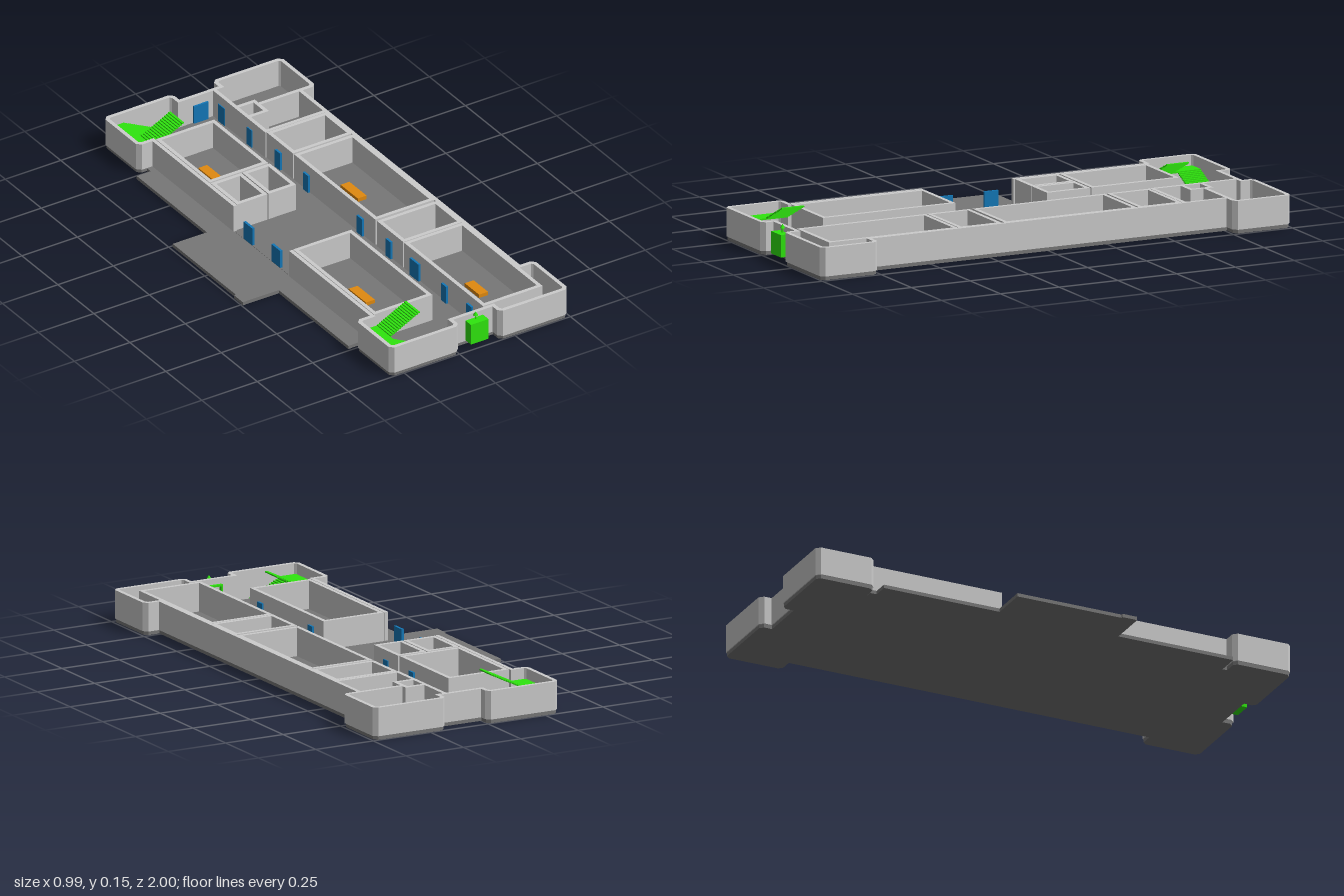
import * as THREE from 'three';

const FLOOR = 0.015, TOP = 0.127, T = 0.016;
const mat = (color) => new THREE.MeshStandardMaterial({ color, flatShading: true });
const wallMat = mat(0xcccccc), floorMat = mat(0x777777), green = mat(0x2fe60e);
const doorMat = mat(0x1478b8), orange = mat(0xe08a10), red = mat(0xee2020), blue = mat(0x2020ee);

// Plan outlines are given as [x, z]; a hole runs the same way round as its outline
function slab(points, y0, y1, material, name, hole) {
  const toV = ([x, z]) => new THREE.Vector2(x, -z);
  const shape = new THREE.Shape(points.map(toV));
  if (hole) shape.holes.push(new THREE.Path(hole.map(toV).reverse()));
  const g = new THREE.ExtrudeGeometry(shape, { depth: y1 - y0, bevelEnabled: false });
  g.rotateX(-Math.PI / 2).translate(0, y0, 0);
  const m = new THREE.Mesh(g, material);
  m.name = name;
  return m;
}

function box(x0, x1, y0, y1, z0, z1, material, name) {
  const m = new THREE.Mesh(new THREE.BoxGeometry(x1 - x0, y1 - y0, z1 - z0), material);
  m.position.set((x0 + x1) / 2, (y0 + y1) / 2, (z0 + z1) / 2);
  m.name = name;
  return m;
}

// Offsets an open path sideways with mitred corners
function offset(path, d) {
  const normal = (a, b) => {
    const l = Math.hypot(b[0] - a[0], b[1] - a[1]);
    return [(b[1] - a[1]) / l, -(b[0] - a[0]) / l];
  };
  const last = path.length - 1;
  return path.map((p, i) => {
    const n1 = normal(path[Math.max(i - 1, 0)], path[Math.max(i, 1)]);
    const n2 = normal(path[Math.min(i, last - 1)], path[Math.min(i + 1, last)]);
    const k = d / (1 + n1[0] * n2[0] + n1[1] * n2[1]);
    return [p[0] + (n1[0] + n2[0]) * k, p[1] + (n1[1] + n2[1]) * k];
  });
}

const wall = (path, name) =>
  slab([...offset(path, T / 2), ...offset(path, -T / 2).reverse()], FLOOR, TOP, wallMat, name);

const rect = (x0, x1, z0, z1) => [[x0, z0], [x1, z0], [x1, z1], [x0, z1]];
const room = (x0, x1, z0, z1, name) =>
  slab(rect(x0, x1, z0, z1), FLOOR, TOP, wallMat, name, rect(x0 + T, x1 - T, z0 + T, z1 - T));

// Staircase with a landing and two flights; s = -1 back, +1 front
function staircase(s) {
  const g = new THREE.Group();
  g.name = s < 0 ? 'backStaircase' : 'frontStaircase';
  const zBox = (x0, x1, y0, y1, a, b, name) =>
    g.add(box(x0, x1, y0, y1, Math.min(s * a, s * b), Math.max(s * a, s * b), green, name));
  const xIn = -0.225, xOut = -0.093, mid = 0.085, steps = 14;
  zBox(-0.294, xIn, mid - 0.006, mid, 0.772, 0.984, 'landing');
  const dx = (xOut - xIn) / steps;
  for (let i = 0; i < steps; i++) {
    const x = xIn + i * dx;
    const up = mid + (i + 1) * (0.15 - mid) / steps;
    const down = mid - (i + 1) * (mid - FLOOR - 0.003) / (steps + 0.5);
    zBox(x, x + dx * 1.1, up - 0.005, up, 0.772, 0.866, 'upperTread');
    zBox(x, x + dx * 1.1, down - 0.005, down, 0.886, 0.984, 'lowerTread');
  }
  return g;
}

// Flat pictogram lying on the floor, head towards +x
function figure(z, material, name) {
  const g = new THREE.Group();
  g.name = name;
  const head = new THREE.Mesh(new THREE.CylinderGeometry(0.008, 0.008, 0.01, 12), material);
  head.position.set(0.344, FLOOR + 0.005, z);
  head.name = 'head';
  g.add(head, box(0.312, 0.335, FLOOR, FLOOR + 0.01, z - 0.008, z + 0.008, material, 'torso'));
  for (const s of [-1, 1]) {
    g.add(box(0.29, 0.312, FLOOR, FLOOR + 0.01, z + s * 0.005 - 0.003, z + s * 0.005 + 0.003, material, 'leg'));
    const arm = box(0.313, 0.335, FLOOR, FLOOR + 0.01, z + s * 0.013 - 0.002, z + s * 0.013 + 0.002, material, 'arm');
    arm.rotation.y = s * 0.3;
    g.add(arm);
  }
  return g;
}

export function createModel() {
  const model = new THREE.Group();
  model.name = 'buildingFloor';

  // Outer wall centre lines of the back half, mirrored for the front
  const flip = (pts) => pts.map(([x, z]) => [x, -z]);
  const westBack = [[-0.238, -0.763], [-0.29, -0.763], [-0.302, -0.775], [-0.302, -0.98],
    [-0.29, -0.992], [-0.017, -0.992], [-0.005, -0.98], [-0.005, -0.944]];
  const eastBack = [[0.188, -0.944], [0.188, -0.98], [0.2, -0.992], [0.474, -0.992],
    [0.486, -0.98], [0.486, -0.775], [0.474, -0.763], [0.424, -0.763]];
  const eastFront = flip(eastBack).reverse(), westFront = flip(westBack).reverse();

  // Ground slab and terrace
  const outline = [...westBack, ...eastBack, ...eastFront, ...westFront];
  const grown = offset([...outline, outline[0]], 0.004).slice(0, -1);
  grown[0] = [-0.242, -0.759];
  model.add(slab(grown, 0, FLOOR, floorMat, 'floorSlab'));
  model.add(slab([[-0.24, -0.73], [-0.333, -0.73], [-0.333, -0.243], [-0.487, -0.243],
    [-0.487, 0.195], [-0.495, 0.195], [-0.495, 0.257], [-0.333, 0.257], [-0.333, 0.74],
    [-0.24, 0.74]], 0, FLOOR - 0.001, floorMat, 'terrace'));
  model.add(box(-0.27, -0.24, 0, FLOOR - 0.001, -0.757, -0.73, floorMat, 'terraceStep'));

  // Outer wall, open only at the west entrance
  model.add(wall([[-0.238, -0.19], ...outline, [-0.238, 0.195]], 'outerWall'));

  // Rooms: x0, x1, z0, z1
  const rooms = [
    [-0.228, 0.035, -0.759, -0.385], [-0.228, -0.09, -0.378, -0.194],
    [-0.086, 0.038, -0.378, -0.194], [-0.228, 0.035, 0.194, 0.757],
    [0.151, 0.42, -0.572, -0.39], [0.151, 0.42, -0.382, 0.182],
    [0.151, 0.42, 0.194, 0.376], [0.151, 0.42, 0.38, 0.93],
  ];
  rooms.forEach((r) => model.add(room(...r, 'roomWalls')));

  // Washrooms in the back corner
  model.add(room(0.146, 0.243, -0.797, -0.698, 'shaftWalls'));
  model.add(wall([[0.154, -0.944], [0.154, -0.79]], 'washroomWall'));
  model.add(wall([[0.154, -0.705], [0.154, -0.582], [0.424, -0.582]], 'washroomWall'));
  model.add(wall([[0.238, -0.763], [0.424, -0.763]], 'washroomDivider'));
  model.add(figure(-0.88, blue, 'blueFigure'), figure(-0.68, red, 'redFigure'));

  // Doors along the corridor: x, z, width
  const doors = [
    [0.147, -0.875, 0.045], [0.147, -0.68, 0.035], [0.147, -0.485, 0.035], [0.147, -0.29, 0.035],
    [0.147, 0.085, 0.04], [0.147, 0.285, 0.035], [0.147, 0.465, 0.06], [0.147, 0.67, 0.035],
    [0.147, 0.845, 0.035], [0.038, -0.485, 0.035], [0.038, -0.29, 0.035], [0.038, 0.285, 0.035],
    [0.038, 0.67, 0.035], [-0.237, -0.097, 0.06], [-0.237, 0.097, 0.06],
  ];
  for (const [x, z, w] of doors)
    model.add(box(x - 0.005, x + 0.005, FLOOR, 0.09, z - w / 2, z + w / 2, doorMat, 'door'));
  model.add(box(0.055, 0.12, FLOOR, 0.09, -0.938, -0.928, doorMat, 'backDoor'));

  // Blank floor markers: x, z, length
  const markers = [[-0.1, -0.57, 0.12], [-0.17, -0.28, 0.14], [-0.03, -0.275, 0.11], [-0.1, 0.475, 0.12],
    [0.28, -0.48, 0.1], [0.285, -0.175, 0.12], [0.285, 0.285, 0.11], [0.29, 0.67, 0.1]];
  for (const [x, z, l] of markers)
    model.add(box(x - 0.02, x + 0.02, FLOOR, FLOOR + 0.015, z - l / 2, z + l / 2, orange, 'roomMarker'));

  model.add(staircase(-1), staircase(1));

  // Front entrance: porch outside the wall, door frame inside, arrow on top
  const gate = new THREE.Group();
  gate.name = 'entrance';
  gate.add(box(0.058, 0.137, FLOOR + 0.003, 0.105, 0.945, 0.99, green, 'porch'),
    box(0.058, 0.065, FLOOR, 0.105, 0.922, 0.945, green, 'rightPost'),
    box(0.13, 0.137, FLOOR, 0.105, 0.922, 0.945, green, 'leftPost'),
    box(0.065, 0.13, 0.098, 0.105, 0.922, 0.945, green, 'lintel'));
  const shaft = new THREE.Mesh(new THREE.CylinderGeometry(0.003, 0.003, 0.02, 10), green);
  shaft.position.set(0.097, 0.114, 0.962);
  shaft.name = 'arrowShaft';
  const tip = new THREE.Mesh(new THREE.ConeGeometry(0.01, 0.016, 16), green);
  tip.position.set(0.097, 0.13, 0.962);
  tip.name = 'arrowTip';
  gate.add(shaft, tip);
  model.add(gate);

  return model;
}
